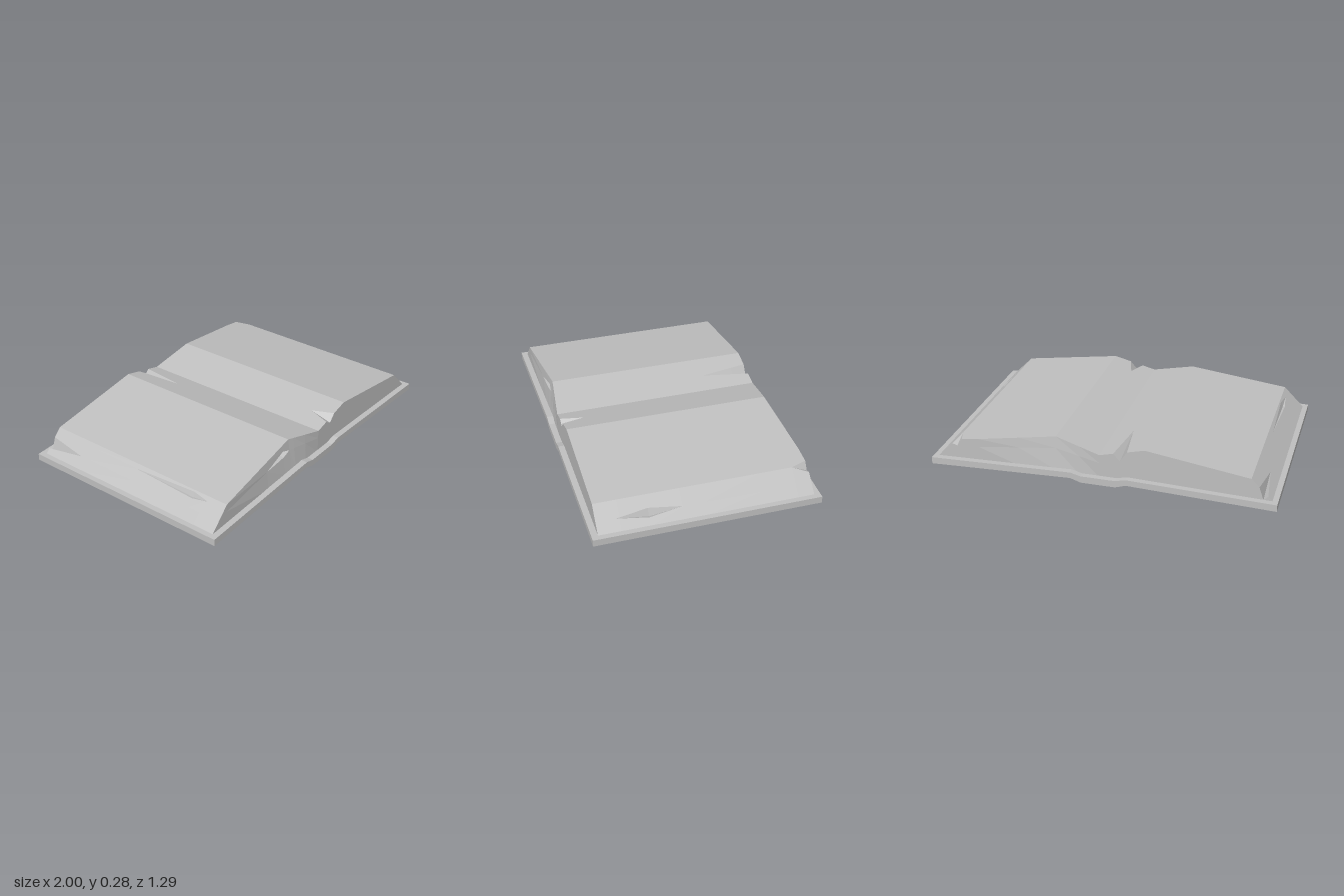
import * as THREE from 'three';

const lerp = THREE.MathUtils.lerp;

// height of a polyline [[x, y], ...] at x
function along(line, x) {
  for (let i = 1; i < line.length; i++) {
    const [x0, y0] = line[i - 1], [x1, y1] = line[i];
    if (x <= x1) return lerp(y0, y1, Math.max(0, (x - x0) / (x1 - x0)));
  }
  return line[line.length - 1][1];
}
const mirrorLine = half => [...half.map(([x, y]) => [-x, y]).reverse(), ...half];

const coverTop = mirrorLine([[0.1, 0.09], [0.16, 0.105], [1, 0.08]]);
const coverBottom = mirrorLine([[0.1, 0.05], [0.16, 0.07], [1, 0.04]]);
const pageTop = [[-0.97, 0.08], [-0.85, 0.2], [-0.26, 0.285], [0, 0.22], [0.26, 0.285], [0.85, 0.2], [0.97, 0.08]];

// tears in the pages: x, half width, depth and z profile of strength
const tears = [
  { x: -0.92, w: 0.025, d: 0.05, z: [[-0.61, 1], [-0.38, 0]] },
  { x: -0.87, w: 0.013, d: 0.015, z: [[0, 0], [0.4, 1], [0.5, 0]] },
  { x: -0.12, w: 0.04, d: 0.05, z: [[-0.61, 1], [-0.33, 0]] },
  { x: 0.12, w: 0.04, d: 0.035, z: [[0.48, 0], [0.61, 1]] },
  { x: 0.85, w: 0.03, d: 0.04, z: [[-0.61, 1], [-0.52, 0]] },
  { x: 0.92, w: 0.018, d: 0.025, z: [[0.13, 0], [0.32, 1], [0.5, 0]] },
];

function pagesGeometry() {
  const columns = [-0.97, -0.85, -0.48, -0.32, -0.26, -0.22, 0, 0.26, 0.48, 0.72, 0.97].map(x => ({ x, s: 0 }));
  for (const tear of tears) for (const s of [-1, 0, 1]) columns.push({ x: tear.x + s * tear.w, s, tear });
  columns.sort((a, b) => a.x - b.x);
  const rows = [-0.61, -0.52, -0.38, -0.33, 0, 0.13, 0.32, 0.4, 0.48, 0.5, 0.61];

  // the top edges are worn back at one ridge on each end
  const wear = { 1: [[-0.85, 0], [-0.26, 0.03], [0, 0]], '-1': [[0, 0], [0.26, 0.03], [0.72, 0]] };
  const topPoint = (c, z) => {
    const t = c.tear ? along(c.tear.z, z) : 0;
    const x = c.tear ? c.tear.x + c.s * c.tear.w * Math.max(t, 0.03) : c.x;
    const y = along(pageTop, x) - (c.tear && c.s === 0 ? c.tear.d * t : 0);
    const end = Math.abs(z) > 0.6 ? Math.sign(z) : 0;
    return [x, y, end ? z - end * along(wear[end], x) : z];
  };
  // end face points from the top edge down, with one dent at the front
  const endPoint = (c, side, level) => {
    const [x, y, z] = topPoint(c, side * 0.61);
    const dent = side > 0 && c.x === -0.32;
    const f = (dent ? [1, 0.8, 0.65, 0.6, 0] : [1, 0.65, 0.65, 0.65, 0])[level];
    return [x, lerp(along(coverTop, x) - 0.01, y, f), lerp(side * 0.61, z, f) - (dent && level === 2 ? 0.05 : 0)];
  };

  const verts = [];
  const quad = (a, b, c, d) => verts.push(...a, ...b, ...c, ...a, ...c, ...d);
  for (let i = 0; i + 1 < columns.length; i++) {
    const l = columns[i], r = columns[i + 1];
    for (let j = 0; j + 1 < rows.length; j++) {
      quad(topPoint(l, rows[j]), topPoint(l, rows[j + 1]), topPoint(r, rows[j + 1]), topPoint(r, rows[j]));
    }
    for (const side of [1, -1]) for (let k = 0; k < 4; k++) {
      const [a, b] = side > 0 ? [l, r] : [r, l];
      quad(endPoint(a, side, k), endPoint(a, side, k + 1), endPoint(b, side, k + 1), endPoint(b, side, k));
    }
  }
  const geometry = new THREE.BufferGeometry();
  geometry.setAttribute('position', new THREE.Float32BufferAttribute(verts, 3));
  geometry.computeVertexNormals();
  return geometry;
}

// box that narrows downwards
function taperedBlock(length, height, width) {
  const geometry = new THREE.CylinderGeometry(Math.SQRT1_2, Math.SQRT1_2 * 0.6, 1, 4);
  geometry.rotateY(Math.PI / 4);
  geometry.scale(length, height, width);
  return geometry;
}

export function createModel() {
  const model = new THREE.Group();
  const grey = new THREE.MeshStandardMaterial({ color: 0xbfbfbf, flatShading: true, side: THREE.DoubleSide });
  grey.name = 'stone grey';
  const add = (parent, name, geometry, x = 0, y = 0, z = 0) => {
    const mesh = new THREE.Mesh(geometry, grey);
    mesh.name = name;
    mesh.position.set(x, y, z);
    parent.add(mesh);
    return mesh;
  };

  // cover with a dropped spine
  const outline = new THREE.Shape([...coverBottom, ...[...coverTop].reverse()].map(p => new THREE.Vector2(...p)));
  const cover = new THREE.ExtrudeGeometry(outline, { depth: 1.29, bevelEnabled: false });
  add(model, 'cover', cover, 0, 0, -0.645);

  // open pages
  add(model, 'pages', pagesGeometry());

  // crossed studs along the spine
  for (const z of [0.44, 0.14, -0.16, -0.47]) {
    const stud = new THREE.Group();
    stud.name = 'spineStud';
    stud.position.set(0, 0.036, z);
    for (const side of [-1, 1]) {
      add(stud, 'studBar', taperedBlock(0.24, 0.045, 0.04)).rotation.y = side * 0.55;
    }
    model.add(stud);
  }

  // octagonal medallion under one cover
  const medallion = new THREE.Group();
  medallion.name = 'medallion';
  medallion.position.set(0.48, 0, -0.25);
  const ringProfile = [[0.135, 0.065], [0.15, 0.016], [0.185, 0.016], [0.215, 0.065]].map(p => new THREE.Vector2(...p));
  const ring = new THREE.LatheGeometry(ringProfile, 8);
  ring.rotateY(Math.PI / 8);
  add(medallion, 'medallionRing', ring).rotation.z = -0.036;
  for (const side of [-1, 1]) {
    add(medallion, 'medallionBar', taperedBlock(0.22, 0.045, 0.035), 0, 0.037, 0).rotation.y = side * Math.PI / 4;
  }
  add(medallion, 'medallionHub', new THREE.CylinderGeometry(0.045, 0.03, 0.06, 8), 0, 0.03, 0);
  model.add(medallion);

  return model;
}
